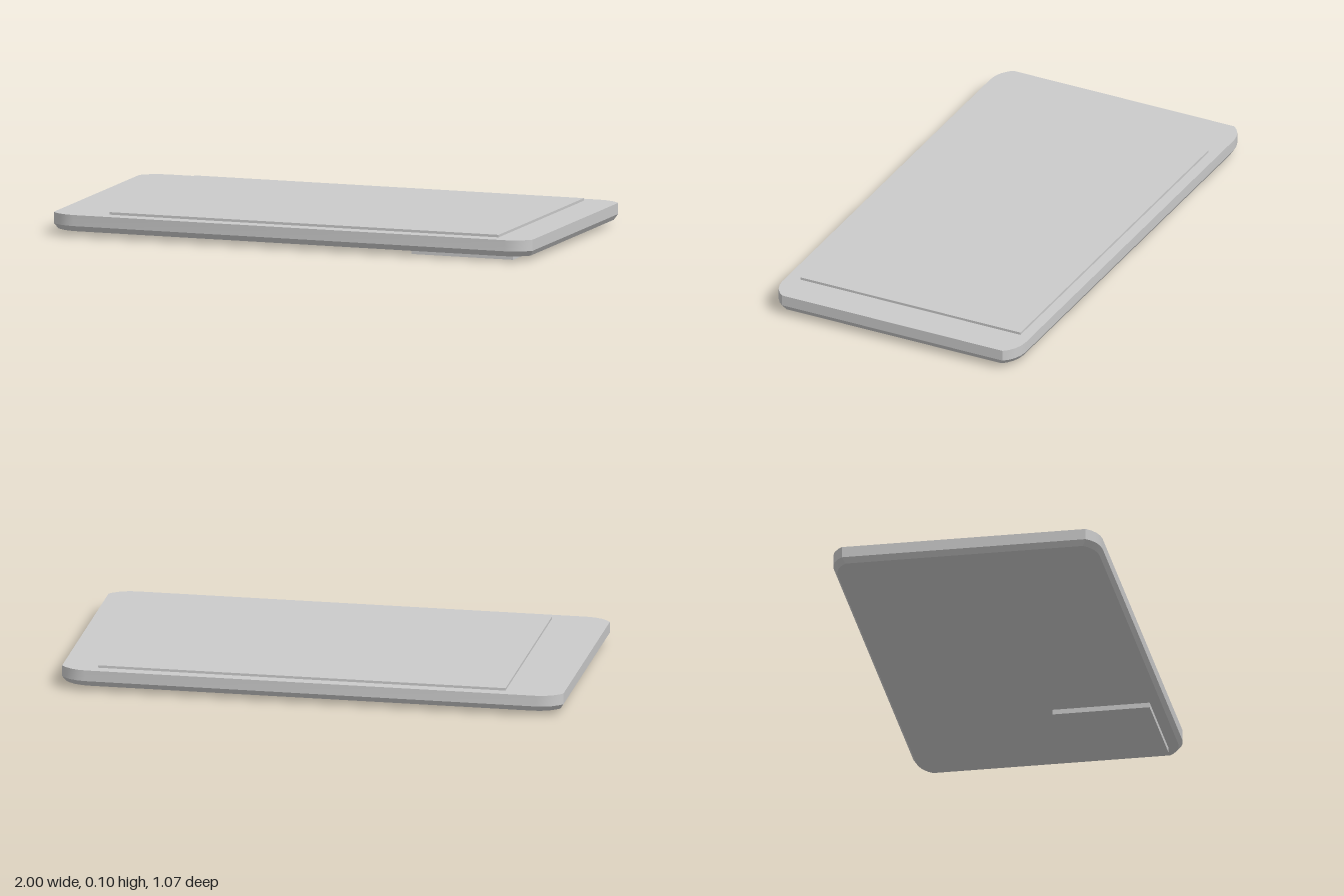
import * as THREE from 'three';
import { toCreasedNormals } from 'three/addons/utils/BufferGeometryUtils.js';

const material = new THREE.MeshStandardMaterial({ color: 0xcccccc });

// One corner of the outline, from the short end to the long side
const corner = [[1, 0.485], [0.985, 0.502], [0.96, 0.52], [0.93, 0.531], [0.9, 0.535]];

// Full outline, running from +x towards +z, pulled in by an inset
function outline(inset) {
  const points = [];
  for (const [sx, sz] of [[1, 1], [-1, 1], [-1, -1], [1, -1]]) {
    const run = sx * sz > 0 ? corner : [...corner].reverse();
    for (const [x, z] of run) {
      points.push([sx * x * (1 - inset), sz * z * (1 - inset / 0.535)]);
    }
  }
  return points;
}

// Stacked outlines joined by walls and closed with caps
function slabGeometry(levels) {
  const n = corner.length * 4;
  const positions = [];
  const index = [];
  for (const [y, inset] of levels) {
    for (const [x, z] of outline(inset)) positions.push(x, y, z);
  }
  const bottom = levels.length * n;
  const top = bottom + 1;
  positions.push(0, levels[0][0], 0, 0, levels[levels.length - 1][0], 0);
  for (let i = 0; i < n; i++) {
    const j = (i + 1) % n;
    for (let k = 0; k < levels.length - 1; k++) {
      const a = k * n;
      const b = a + n;
      index.push(a + i, b + i, a + j, a + j, b + i, b + j);
    }
    const last = (levels.length - 1) * n;
    index.push(bottom, i, j, top, last + j, last + i);
  }
  const geometry = new THREE.BufferGeometry();
  geometry.setAttribute('position', new THREE.Float32BufferAttribute(positions, 3));
  geometry.setIndex(index);
  return toCreasedNormals(geometry, 0.5);
}

// Box given by its extents along each axis
function panel(name, [x0, x1], [y0, y1], [z0, z1]) {
  const mesh = new THREE.Mesh(new THREE.BoxGeometry(x1 - x0, y1 - y0, z1 - z0), material);
  mesh.position.set((x0 + x1) / 2, (y0 + y1) / 2, (z0 + z1) / 2);
  mesh.name = name;
  return mesh;
}

export function createModel() {
  const model = new THREE.Group();
  model.name = 'phone';

  // Case with rounded corners and a chamfered lower edge
  const body = new THREE.Mesh(slabGeometry([[0.02, 0.014], [0.042, 0], [0.086, 0]]), material);
  body.name = 'body';
  model.add(body);

  // Raised screen on top, camera block underneath
  model.add(panel('screen', [-0.77, 0.855], [0.076, 0.096], [-0.49, 0.477]));
  model.add(panel('cameraBlock', [0.49, 0.915], [0, 0.03], [0.09, 0.477]));
  return model;
}
